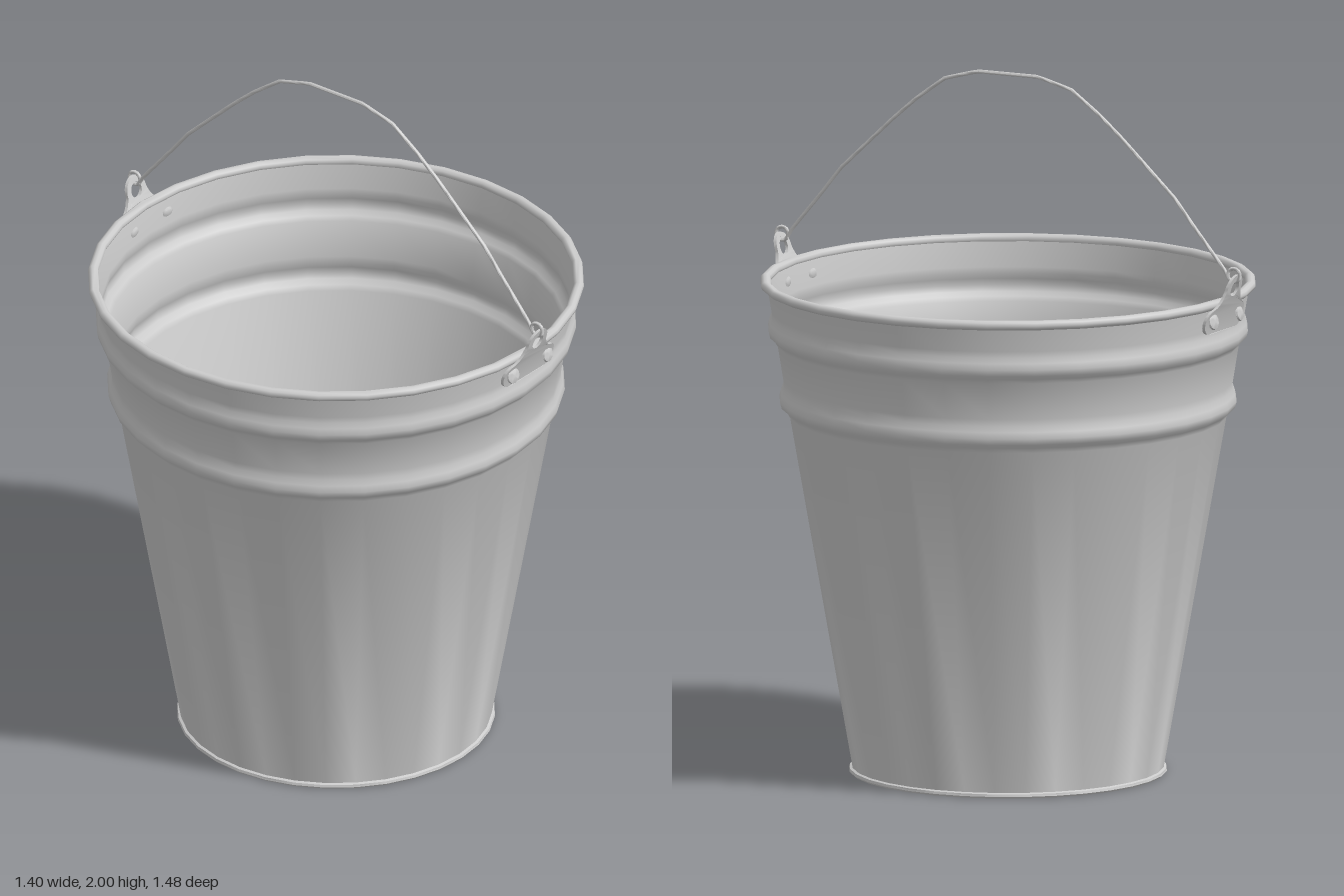
import * as THREE from 'three';
import { toCreasedNormals } from 'three/addons/utils/BufferGeometryUtils.js';

const material = new THREE.MeshStandardMaterial({ color: 0xcccccc, side: THREE.DoubleSide });
const SEGMENTS = 32;

function part(name, geometry, crease = 0.7) {
  const mesh = new THREE.Mesh(toCreasedNormals(geometry, crease), material);
  mesh.name = name;
  return mesh;
}

// Sheet metal shell: recessed floor, foot lip, tapered wall with two beads, inside wall
function bucketBody() {
  const wall = [
    [0.44, 0.015], [0.617, 1.02], [0.625, 1.035], [0.641, 1.047], [0.646, 1.065],
    [0.641, 1.083], [0.635, 1.1], [0.635, 1.12], [0.652, 1.225], [0.66, 1.238],
    [0.674, 1.25], [0.678, 1.268], [0.674, 1.286], [0.668, 1.302], [0.669, 1.32], [0.682, 1.395],
  ];
  const foot = [[0, 0.008], [0.436, 0.008], [0.438, 0], [0.445, 0], [0.449, 0.005], [0.447, 0.012]];
  const inside = wall.slice(1).reverse().map(([r, y]) => [r - 0.009, y]);
  const profile = [...foot, ...wall, ...inside, [0.431, 0.014], [0, 0.014]];
  return part('body', new THREE.LatheGeometry(profile.map(([r, y]) => new THREE.Vector2(r, y)), SEGMENTS));
}

// Rolled wire edge around the mouth
function rolledRim() {
  const circle = [];
  for (let i = 0; i <= 10; i++) {
    const a = (i / 10) * Math.PI * 2;
    circle.push(new THREE.Vector2(0.685 + 0.015 * Math.cos(a), 1.398 + 0.014 * Math.sin(a)));
  }
  return part('rim', new THREE.LatheGeometry(circle, SEGMENTS), 1.2);
}

// Depth of the sloping plate's inner face
const plateZ = (x, y) => 0.677 + 0.28 * (y - 1.32) - (x * x) / 1.36;

// Lug plate with rounded ends, raised tongue and a hole for the handle
function lugPlate() {
  const s = new THREE.Shape();
  s.moveTo(-0.078, 1.317);
  s.lineTo(0.078, 1.317);
  s.absarc(0.078, 1.353, 0.036, -Math.PI / 2, Math.PI / 2 - 0.25, false);
  s.quadraticCurveTo(0.055, 1.395, 0.042, 1.432);
  s.absarc(0, 1.438, 0.042, 0, Math.PI, false);
  s.quadraticCurveTo(-0.055, 1.395, -0.087, 1.388);
  s.absarc(-0.078, 1.353, 0.036, Math.PI / 2 + 0.25, Math.PI * 1.5, false);
  const hole = new THREE.Path();
  hole.absarc(0, 1.44, 0.023, 0, Math.PI * 2, true);
  s.holes.push(hole);
  const geometry = new THREE.ExtrudeGeometry(s, { depth: 0.009, bevelEnabled: false, curveSegments: 10 });
  const p = geometry.attributes.position;
  for (let i = 0; i < p.count; i++) p.setZ(i, p.getZ(i) + plateZ(p.getX(i), p.getY(i)));
  return part('lugPlate', geometry, 0.5);
}

// Rivet with a low domed head outside and a flat head inside
function rivet(x) {
  const profile = [
    [0, -0.028], [0.017, -0.026], [0.022, -0.021], [0.012, -0.017],
    [0.012, 0.008], [0.024, 0.009], [0.022, 0.014], [0.013, 0.018], [0, 0.019],
  ];
  const mesh = part('rivet', new THREE.LatheGeometry(profile.map(([r, y]) => new THREE.Vector2(r, y)), 14));
  const holder = new THREE.Group();
  holder.name = 'rivet';
  mesh.rotation.x = Math.PI / 2 - 0.2;
  holder.add(mesh);
  holder.position.set(x, 1.353, plateZ(x, 1.353));
  holder.rotation.y = x / 0.69;
  return holder;
}

function lug() {
  const group = new THREE.Group();
  group.name = 'lug';
  group.add(lugPlate(), rivet(-0.078), rivet(0.078));
  // Eye at the end of the handle wire, hooked through the hole
  const eye = part('handleEye', new THREE.TorusGeometry(0.019, 0.0055, 8, 16), 1.2);
  eye.rotation.y = Math.PI / 2;
  eye.position.set(0, 1.477, 0.716);
  group.add(eye);
  return group;
}

// Bent wire handle made of short straight runs
function handle() {
  const half = [[0.698, 1.47], [0.685, 1.492], [0.59, 1.605], [0.53, 1.68], [0.44, 1.765], [0.362, 1.838], [0.29, 1.9], [0.2, 1.965], [0.095, 1.993]];
  const points = [...half, ...half.map(([z, y]) => [-z, y]).reverse()].map(([z, y]) => new THREE.Vector3(0, y, z));
  // Fit the half outline along a polyline
  const path = new THREE.CurvePath();
  for (let i = 1; i < points.length; i++) path.add(new THREE.LineCurve3(points[i - 1], points[i]));
  return part('handle', new THREE.TubeGeometry(path, 80, 0.0055, 8), 1.2);
}

export function createModel() {
  const bucket = new THREE.Group();
  bucket.name = 'bucket';
  bucket.add(bucketBody(), rolledRim(), handle());
  for (const angle of [0, Math.PI]) {
    const l = lug();
    l.rotation.y = angle;
    bucket.add(l);
  }
  return bucket;
}
